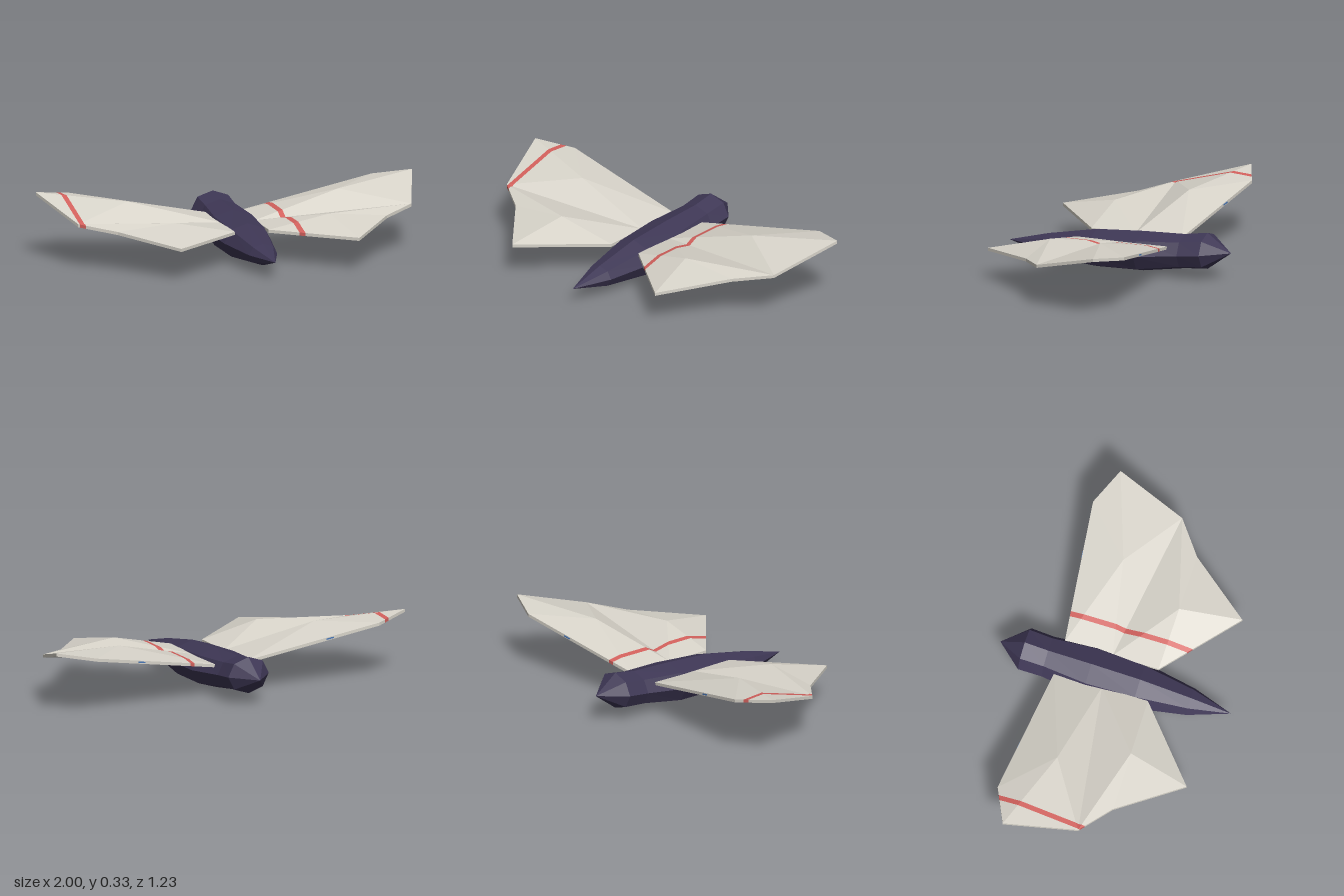
import * as THREE from 'three';

const mat = (name, color, side = THREE.FrontSide) =>
  Object.assign(new THREE.MeshStandardMaterial({ color, flatShading: true, side }), { name });

function meshFrom(name, triangles, material) {
  const geo = new THREE.BufferGeometry();
  geo.setAttribute('position', new THREE.Float32BufferAttribute(triangles.flat(2), 3));
  geo.computeVertexNormals();
  const mesh = new THREE.Mesh(geo, material);
  mesh.name = name;
  return mesh;
}

// Body cross-sections, tail to head: z, centre height, half width, half height
const RINGS = [
  [0.615, 0.09, 0, 0],
  [0.40, 0.09, 0.075, 0.056],
  [0.13, 0.1, 0.125, 0.098],
  [-0.13, 0.112, 0.14, 0.104],
  [-0.36, 0.135, 0.112, 0.09],
  [-0.485, 0.15, 0.116, 0.095],
  [-0.615, 0.15, 0, 0],
];

function bodyTriangles(sides = 8) {
  const tris = [];
  const point = ([z, y, w, h], i) => {
    const a = (i / sides) * Math.PI * 2;
    return [Math.sin(a) * w, y + Math.cos(a) * h, z];
  };
  for (let r = 0; r < RINGS.length - 1; r++) {
    for (let i = 0; i < sides; i++) {
      const a = point(RINGS[r], i), b = point(RINGS[r], i + 1);
      const c = point(RINGS[r + 1], i + 1), d = point(RINGS[r + 1], i);
      if (RINGS[r][2] > 0) tris.push([a, b, c]);
      if (RINGS[r + 1][2] > 0) tris.push([a, c, d]);
    }
  }
  return tris;
}

// Wing corners (upper surface of the +x wing)
const P = {
  rootFront: [0.09, 0.175, -0.3],
  lead: [0.81, 0.306, -0.375],
  outer: [1, 0.336, -0.288],
  notch: [0.885, 0.236, 0.077],
  hind: [0.715, 0.212, 0.21],
  tail: [0.473, 0.173, 0.527],
  rootBack: [0.09, 0.173, 0.2],
  rootMid: [0.09, 0.173, -0.045],
  foreRidge: [0.56, 0.292, -0.135],
  hindRidge: [0.41, 0.24, 0.21],
};
const THICK = 0.016;

function wingTriangles(side) {
  const tris = [];
  const low = ([x, y, z]) => [x, y - THICK, z];
  // Each half fans out from a raised ridge point
  const fan = (center, loop) => loop.forEach((p, i) => {
    const n = loop[(i + 1) % loop.length];
    tris.push([center, n, p], [low(center), low(p), low(n)]);
  });
  fan(P.foreRidge, [P.rootFront, P.lead, P.outer, P.notch, P.rootMid]);
  fan(P.hindRidge, [P.rootMid, P.notch, P.hind, P.tail, P.rootBack]);
  // Thin rim
  const rim = [P.rootFront, P.lead, P.outer, P.notch, P.hind, P.tail, P.rootBack, P.rootMid];
  rim.forEach((p, i) => {
    const n = rim[(i + 1) % rim.length];
    tris.push([p, n, low(n)], [p, low(n), low(p)]);
  });
  if (side > 0) return tris;
  return tris.map(([a, b, c]) => [a, c, b].map(([x, y, z]) => [-x, y, z]));
}

// Keep the part of a polygon where sign * (x - limit) >= 0
function clip(poly, limit, sign) {
  const out = [];
  poly.forEach((p, i) => {
    const q = poly[(i + 1) % poly.length];
    const dp = sign * (p[0] - limit), dq = sign * (q[0] - limit);
    if (dp >= 0) out.push(p);
    if (dp * dq < 0) out.push(p.map((v, k) => v + (q[k] - v) * dp / (dp - dq)));
  });
  return out;
}

function band(tris, min, max) {
  const out = [];
  for (const t of tris) {
    const poly = clip(clip(t, min, 1), max, -1);
    for (let i = 1; i < poly.length - 1; i++) out.push([poly[0], poly[i], poly[i + 1]]);
  }
  return out;
}

export function createModel() {
  const bodyMat = mat('dark violet', 0x3e3755);
  const wingMat = mat('pale grey', 0xd8d4ca, THREE.DoubleSide);
  const stripeMat = mat('red', 0xd2605c, THREE.DoubleSide);
  const blueMat = mat('blue', 0x4a78b8);

  const model = new THREE.Group();
  model.name = 'moth';
  model.add(meshFrom('body', bodyTriangles(), bodyMat));

  // Stripe near the root of the left wing and near the tip of the right wing
  for (const [name, side, stripe] of [['left', 1, 0.233], ['right', -1, -0.865]]) {
    const wing = new THREE.Group();
    wing.name = name + 'Wing';
    const tris = wingTriangles(side);
    const a = stripe - 0.013, b = stripe + 0.013;
    wing.add(
      meshFrom('wingSurface', [...band(tris, -2, a), ...band(tris, b, 2)], wingMat),
      meshFrom('wingStripe', band(tris, a, b), stripeMat),
    );
    // Small fleck on the leading edge
    const fleck = new THREE.Mesh(new THREE.BoxGeometry(0.04, 0.007, 0.004), blueMat);
    fleck.name = 'edgeFleck';
    fleck.position.set(side * 0.54, 0.249, -0.347);
    fleck.rotation.set(0, side * 0.104, side * 0.18);
    wing.add(fleck);
    model.add(wing);
  }
  return model;
}
